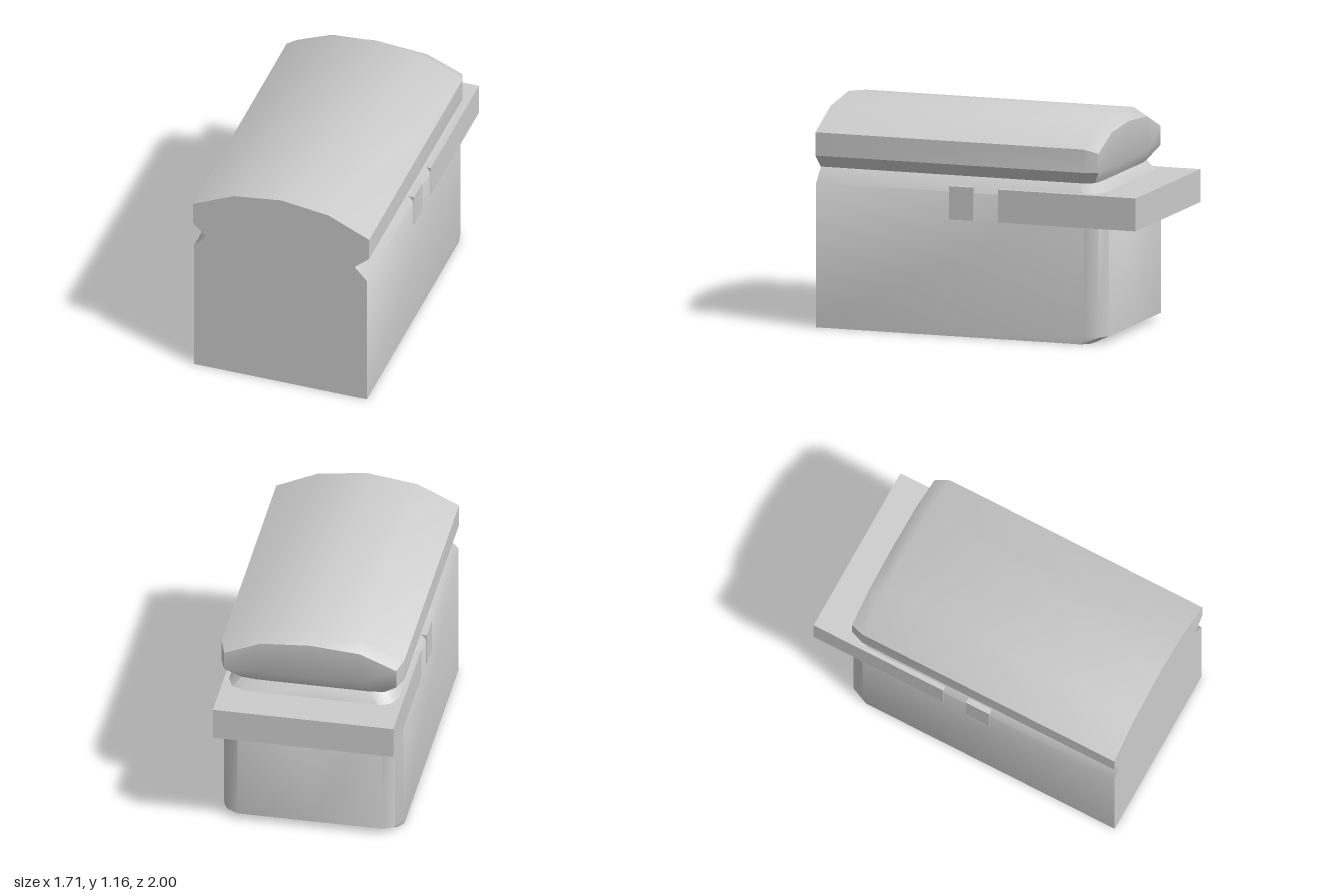
import * as THREE from 'three';
import { toCreasedNormals } from 'three/addons/utils/BufferGeometryUtils.js';

const FRONT = 0.874;
const COLS = [-1, -0.54, 0, 0.54, 1];

// One level of the shell as three rows of five points: front, shoulder, back.
// hw: half width, side: z where the back corner starts,
// back: [end x, end z, inner x, middle z], frontY / backY: [end, inner, middle] heights
function level(cx, hw, side, back, frontY, backY = frontY) {
  const [ex, ez, ix, mz] = back;
  const backX = [-ex, -ix, 0, ix, ex];
  const backZ = [ez, mz, mz, mz, ez];
  const pick = (h, i) => h[2 - Math.abs(i - 2)];
  const rise = [...frontY].reverse(), drop = [...backY].reverse();
  const at = (h, i) => h[Math.abs(i - 2)];
  return [
    COLS.map((c, i) => [cx + c * hw, at(rise, i), FRONT]),
    COLS.map((c, i) => [cx + c * hw, at(rise, i), side]),
    COLS.map((c, i) => [cx + backX[i], at(drop, i), backZ[i]]),
  ];
}

// Joins the levels with walls and closes both ends
function shell(levels) {
  const pos = [];
  const quad = (a, b, c, d) => pos.push(...a, ...b, ...c, ...a, ...c, ...d);
  const rim = ([f, s, b]) => [...f, s[4], ...[...b].reverse(), s[0]];
  for (let k = 0; k < levels.length - 1; k++) {
    const lo = rim(levels[k]), hi = rim(levels[k + 1]);
    lo.forEach((p, i) => {
      const j = (i + 1) % lo.length;
      quad(p, lo[j], hi[j], hi[i]);
    });
  }
  const bottom = levels[0], top = levels[levels.length - 1];
  for (let r = 0; r < 2; r++) {
    for (let i = 0; i < 4; i++) {
      quad(top[r][i], top[r][i + 1], top[r + 1][i + 1], top[r + 1][i]);
      quad(bottom[r][i + 1], bottom[r][i], bottom[r + 1][i], bottom[r + 1][i + 1]);
    }
  }
  const g = new THREE.BufferGeometry();
  g.setAttribute('position', new THREE.Float32BufferAttribute(pos, 3));
  return toCreasedNormals(g, 0.75);
}

export function createModel() {
  const group = new THREE.Group();
  group.name = 'chest';
  const material = new THREE.MeshStandardMaterial({ color: 0xcccccc });
  const flat = (y) => [y, y, y];

  const add = (name, geometry, x = 0, y = 0, z = 0) => {
    const mesh = new THREE.Mesh(geometry, material);
    mesh.name = name;
    mesh.position.set(x, y, z);
    turned.add(mesh);
  };
  const box = (name, x0, x1, y0, y1, z0, z1) =>
    add(name, new THREE.BoxGeometry(x1 - x0, y1 - y0, z1 - z0),
      (x0 + x1) / 2, (y0 + y1) / 2, (z0 + z1) / 2);

  // The whole chest stands turned on the ground
  const turned = new THREE.Group();
  turned.name = 'turnedChest';
  turned.rotation.y = Math.PI / 6;
  group.add(turned);

  // Body, waist groove and arched lid in one closed shell
  add('bodyAndLid', shell([
    level(-0.006, 0.472, -0.58, [0.44, -0.62, 0.38, -0.63], flat(0)),
    level(-0.006, 0.472, -0.60, [0.44, -0.67, 0.38, -0.703], flat(0.035)),
    level(-0.006, 0.472, -0.60, [0.44, -0.67, 0.38, -0.703], flat(0.755)),
    level(-0.006, 0.405, -0.56, [0.375, -0.625, 0.3, -0.635], flat(0.83)),
    level(-0.002, 0.48, -0.60, [0.452, -0.675, 0.26, -0.675], flat(0.9)),
    level(-0.002, 0.48, -0.60, [0.452, -0.675, 0.26, -0.675],
      [1.022, 1.125, 1.16], [1.0, 1.08, 1.1]),
  ]));

  // Slab running through the body and out at the back
  box('backLedge', -0.479, 0.468, 0.61, 0.782, -0.886, -0.128);

  // Bar whose ends show as a clasp on each side
  box('sideClasps', -0.482, 0.47, 0.61, 0.784, 0.006, 0.142);

  return group;
}
